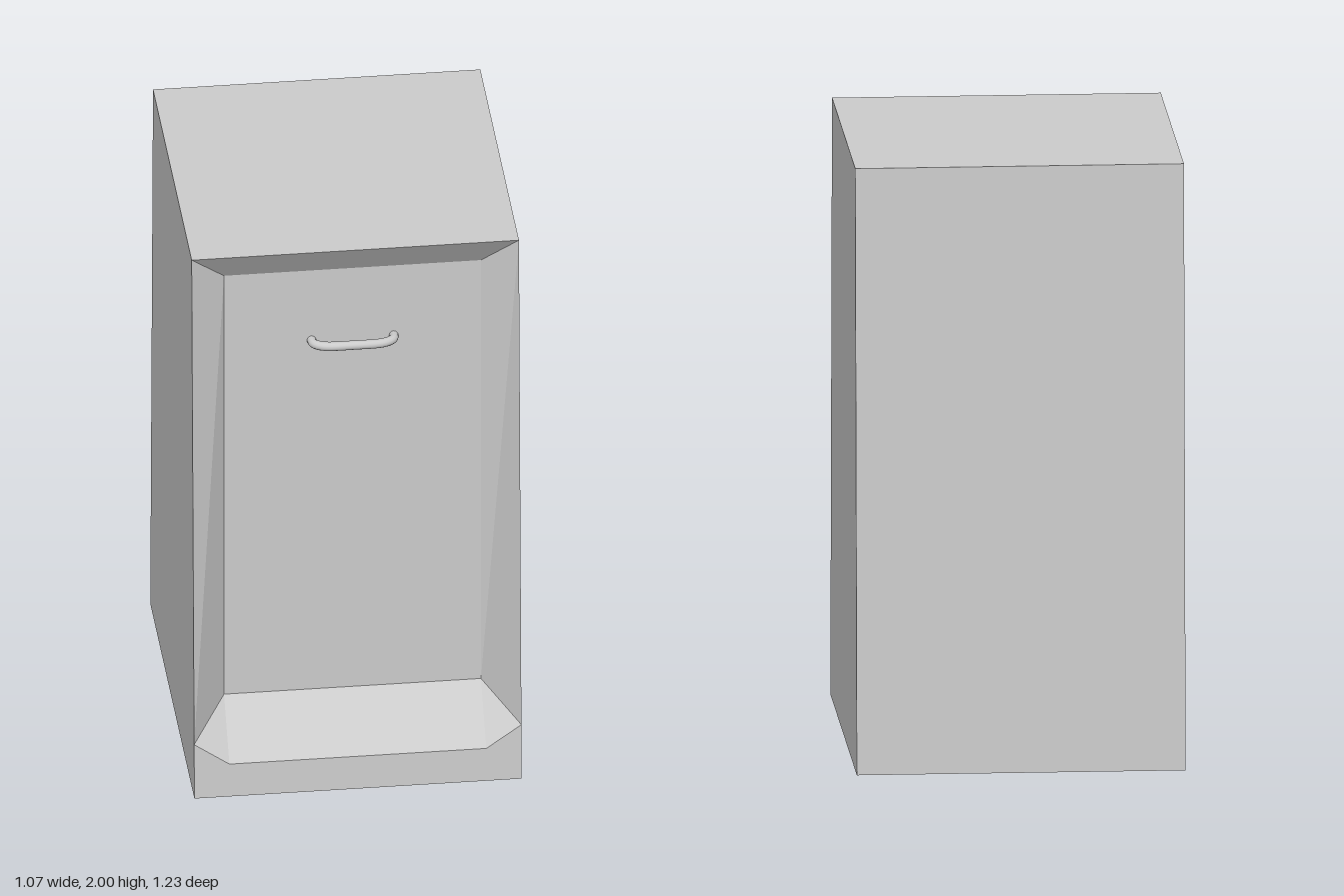
import * as THREE from 'three';

const material = () => new THREE.MeshStandardMaterial({ color: 0xcccccc });

// Half sizes: the cabinet tapers only in depth
const W = 0.535, H = 2, PW = 0.42, PANEL_Z = 0.458;
const PANEL_BOTTOM = 0.295, PANEL_TOP = 1.885, MOUTH = 0.2, TOE = 0.12;
const depthAt = (y) => 0.613 - 0.038 * y;

// Flat mesh from convex polygons, corners counter-clockwise from outside
function polyMesh(name, polygons) {
  const pos = [];
  for (const p of polygons) {
    for (let i = 1; i < p.length - 1; i++) pos.push(...p[0], ...p[i], ...p[i + 1]);
  }
  const geo = new THREE.BufferGeometry();
  geo.setAttribute('position', new THREE.Float32BufferAttribute(pos, 3));
  geo.computeVertexNormals();
  const mesh = new THREE.Mesh(geo, material());
  mesh.name = name;
  return mesh;
}

// Polygon given for the +x side, plus its mirror image
const mirrored = (p) => [p, p.map(([x, y, z]) => [-x, y, z]).reverse()];
// Polygon spanning from -x to +x between a lower and an upper edge
const span = ([x0, y0, z0], [x1, y1, z1]) =>
  [[-x0, y0, z0], [x0, y0, z0], [x1, y1, z1], [-x1, y1, z1]];

export function createModel() {
  const group = new THREE.Group();
  group.name = 'cabinet';

  const front = (x, y) => [x, y, depthAt(y)];
  const back = (x, y) => [x, y, -depthAt(y)];
  const panelLow = [PW, PANEL_BOTTOM, PANEL_Z];
  const panelHigh = [PW, PANEL_TOP, PANEL_Z];
  const base = front(W, 0), mouth = front(W, MOUTH), top = front(W, H), toe = front(PW, TOE);

  // Tapered outer shell
  group.add(polyMesh('shell', [
    ...mirrored([base, back(W, 0), back(W, H), top]),
    span(back(W, 0), back(W, H)).reverse(),
    span(top, back(W, H)),
    span(back(W, 0), base),
  ]));

  // Recessed door and the bevelled frame around it
  group.add(polyMesh('door', [span(panelLow, panelHigh)]));
  group.add(polyMesh('frame', [
    ...mirrored([panelLow, mouth, top, panelHigh]),
    span(panelHigh, top),
  ]));

  // Sloping sill with its corners, and the upright toe below
  group.add(polyMesh('sill', [
    span(toe, panelLow),
    ...mirrored([toe, mouth, panelLow]),
    ...mirrored([toe, base, mouth]),
  ]));
  group.add(polyMesh('toe', [span(base, toe)]));

  // Bowed door handle
  const path = new THREE.CatmullRomCurve3([
    [-0.135, 0], [-0.13, 0.025], [-0.1, 0.045], [0, 0.05],
    [0.1, 0.045], [0.13, 0.025], [0.135, 0],
  ].map(([x, z]) => new THREE.Vector3(x, 0, z)));
  const handle = new THREE.Mesh(new THREE.TubeGeometry(path, 40, 0.015, 12), material());
  handle.name = 'handle';
  handle.position.set(0, 1.622, PANEL_Z);
  group.add(handle);

  return group;
}
